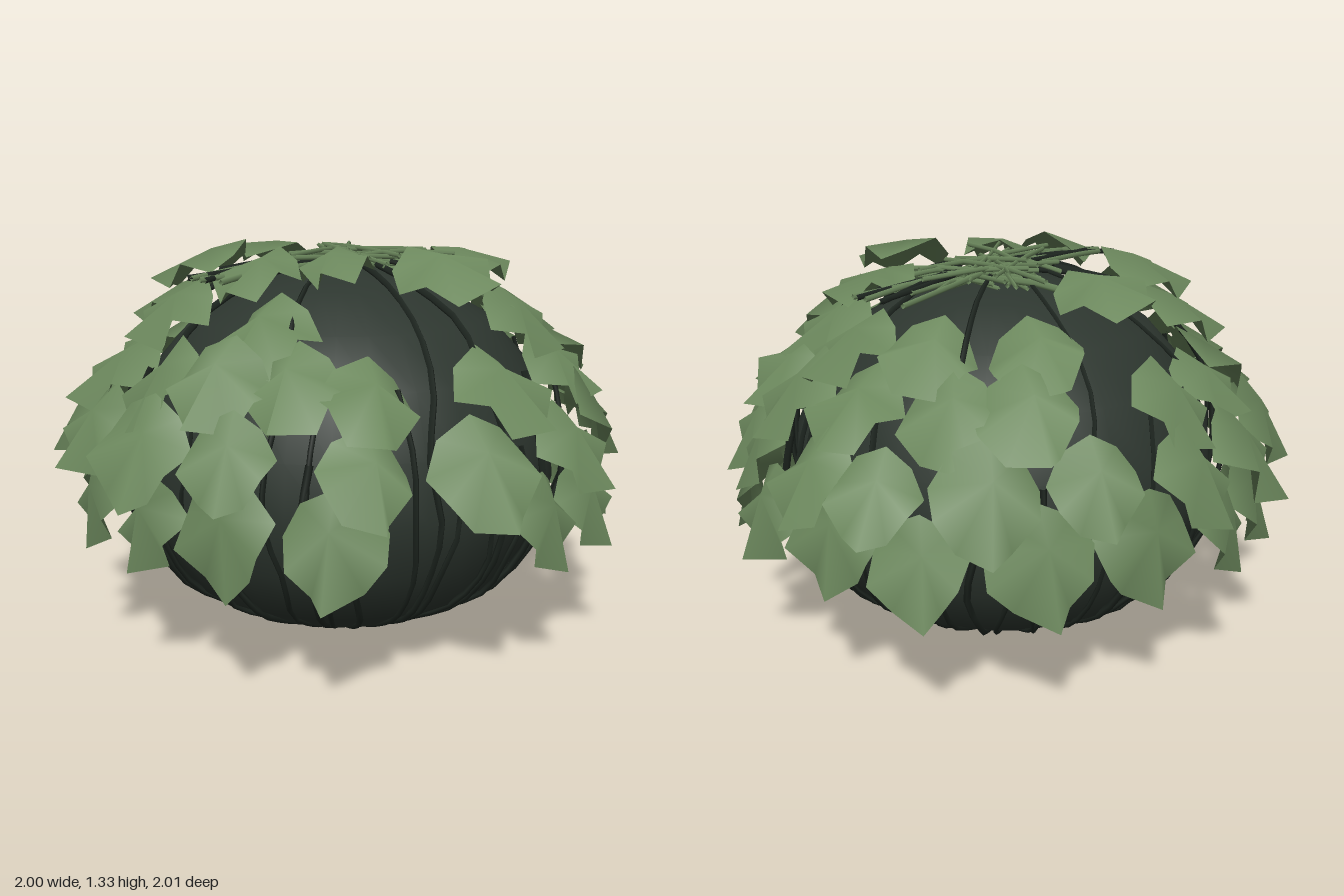
import * as THREE from 'three';

export function createModel() {
  const root = new THREE.Group();
  root.name = 'leafyBush';
  const leafMat = new THREE.MeshStandardMaterial({ color: 0x6c885d, side: THREE.DoubleSide });
  leafMat.name = 'leaf green';
  const coreMat = new THREE.MeshStandardMaterial({ color: 0x2d362f, side: THREE.DoubleSide });
  coreMat.name = 'dark core green';
  const branchMat = new THREE.MeshStandardMaterial({ color: 0x1f2721 });
  branchMat.name = 'branch black green';

  let seed = 7;
  const rnd = () => (seed = (seed * 16807) % 2147483647) / 2147483647;
  const vary = (a) => (rnd() * 2 - 1) * a;
  const rad = THREE.MathUtils.degToRad;

  const add = (geometry, material, name, parent = root) => {
    const mesh = new THREE.Mesh(geometry, material);
    mesh.name = name;
    parent.add(mesh);
    return mesh;
  };

  // Rounded core, flat underneath
  const profile = [[0, 0], [0.2, 0], [0.38, 0.08], [0.58, 0.2], [0.69, 0.37], [0.735, 0.55],
    [0.715, 0.74], [0.635, 0.93], [0.5, 1.08], [0.3, 1.19], [0.12, 1.235], [0, 1.245]]
    .map(([r, y]) => new THREE.Vector2(r, y));
  add(new THREE.LatheGeometry(profile, 32), coreMat, 'core');

  // Thin branches climbing the core, a few of them reaching the crown
  const branches = new THREE.Group();
  branches.name = 'branches';
  root.add(branches);
  const count = 48;
  for (let i = 0; i < count; i++) {
    const base = (i + vary(0.4)) / count * Math.PI * 2;
    const last = i % 5 === 0 ? profile.length - 2 : 5 + Math.floor(rnd() * 3);
    const points = [];
    for (let k = 1; k <= last; k++) {
      const a = base + vary(0.045);
      const r = profile[k].x + 0.004 + Math.max(0, Math.min(k, 7) - 2) * 0.008 + rnd() * 0.014;
      points.push(new THREE.Vector3(Math.sin(a) * r, profile[k].y + (k > 6 ? 0.025 : 0.012), Math.cos(a) * r));
    }
    const curve = new THREE.CatmullRomCurve3(points);
    add(new THREE.TubeGeometry(curve, last * 2, 0.007 + rnd() * 0.006, 4), branchMat, 'branch', branches);
  }

  // Angular leaf lying in XZ, growing along +z, with pleats fanning out from near the stem
  const makeLeaf = (pleat, skew) => {
    const rim = [[0, -0.16, 0.02], [-0.1, -0.12, -0.02], [-0.15, -0.03, -pleat], [-0.14, 0.07, 0.01],
      [-0.07, 0.14, -pleat], [skew, 0.19, 0.005], [0.08, 0.13, -pleat], [0.14, 0.05, 0.01],
      [0.15, -0.04, -pleat], [0.09, -0.12, -0.02]];
    const pos = [skew / 2, 0.03, -0.04];
    rim.forEach(([x, z, y]) => pos.push(x, y, z));
    const index = rim.flatMap((_, i) => [0, i + 1, (i + 1) % rim.length + 1]);
    // Two halves around the midrib join in one fan
    const g = new THREE.BufferGeometry();
    g.setAttribute('position', new THREE.Float32BufferAttribute(pos, 3));
    g.setIndex(index.reverse());
    g.computeVertexNormals();
    return g;
  };
  const leafShapes = [makeLeaf(0.075, -0.04), makeLeaf(0.06, 0.02), makeLeaf(0.05, 0.05)];
  leafShapes.forEach((g) => {
    // Face the upper side outward
    if (g.attributes.normal.getY(0) < 0) {
      g.setIndex([...g.index.array].reverse());
      g.computeVertexNormals();
    }
  });

  // Tiers of leaves: height, distance from axis, downward tilt, size, bearings from the front
  const tiers = [
    { y: 0.55, r: 0.87, tilt: 72, size: 1.02,
      at: [4, 24, 43, 67, 90, 112, 137, 160, 182, 204, 228, 252, 274, 295, 316] },
    { y: 0.77, r: 0.875, tilt: 52, size: 1,
      at: [-65, -37, -15, 12, 33, 52, 68, 88, 104, 125, 148, 170, 190, 212, 235, 255, 275] },
    { y: 0.96, r: 0.75, tilt: 38, size: 0.98,
      at: [-35, -4, 35, 54, 72, 90, 116, 134, 170, 190, 222, 245, 268, 290, 306] },
    { y: 1.11, r: 0.6, tilt: 32, size: 0.95, at: [27, 58, 80, 108, 138, 215, 252, 294] },
    { y: 1.25, r: 0.48, tilt: 13, size: 0.95, at: [0, 66, 167, 222, 285] },
    { y: 1.28, r: 0.29, tilt: 6, size: 0.85, at: [-48] },
  ];
  const leaves = new THREE.Group();
  leaves.name = 'leaves';
  root.add(leaves);
  tiers.forEach(({ y, r, tilt, size, at }) => at.forEach((deg) => {
    const angle = rad(deg + vary(1.5));
    const reach = r + vary(0.025);
    const leaf = add(leafShapes[Math.floor(rnd() * 3)], leafMat, 'leaf', leaves);
    leaf.rotation.set(rad(tilt + vary(7)), angle, vary(0.25), 'YXZ');
    leaf.position.set(Math.sin(angle) * reach, y + vary(0.025), Math.cos(angle) * reach);
    leaf.scale.setScalar(size * (1 + vary(0.1)));
  }));

  // Crown of crossing twigs, densest around the middle
  const crown = new THREE.Group();
  crown.name = 'crownTwigs';
  root.add(crown);
  const twig = (x, y, z, angle, length, drop, material, width) => {
    const dx = Math.sin(angle) * length / 2, dz = Math.cos(angle) * length / 2;
    const curve = new THREE.CatmullRomCurve3([
      new THREE.Vector3(x - dx, y - drop, z - dz),
      new THREE.Vector3(x + vary(0.02), y + 0.01, z + vary(0.02)),
      new THREE.Vector3(x + dx, y + drop * 0.4, z + dz)]);
    add(new THREE.TubeGeometry(curve, 5, width, 4), material, 'twig', crown);
  };
  for (let i = 0; i < 34; i++) {
    const angle = i % 2 ? rad(90) + vary(0.5) : vary(0.7);
    twig(0.1 + vary(0.15), 1.26 + vary(0.025), vary(0.09), angle, 0.22 + rnd() * 0.35, vary(0.03), leafMat, 0.008);
  }
  // Long side twigs and dark stems beneath them
  for (const side of [-1, 1]) {
    for (let i = 0; i < 6; i++) {
      twig(side * 0.36, 1.25, vary(0.08), side * rad(90) + vary(0.25), 0.5, -0.02, i < 3 ? leafMat : branchMat, 0.009);
    }
  }
  twig(0.17, 1.2, 0.33, rad(200), 0.46, 0.08, leafMat, 0.013);
  twig(-0.14, 1.24, -0.2, rad(25), 0.42, 0.03, branchMat, 0.013);
  twig(0.13, 1.24, -0.28, rad(5), 0.4, 0.03, leafMat, 0.012);

  return root;
}
